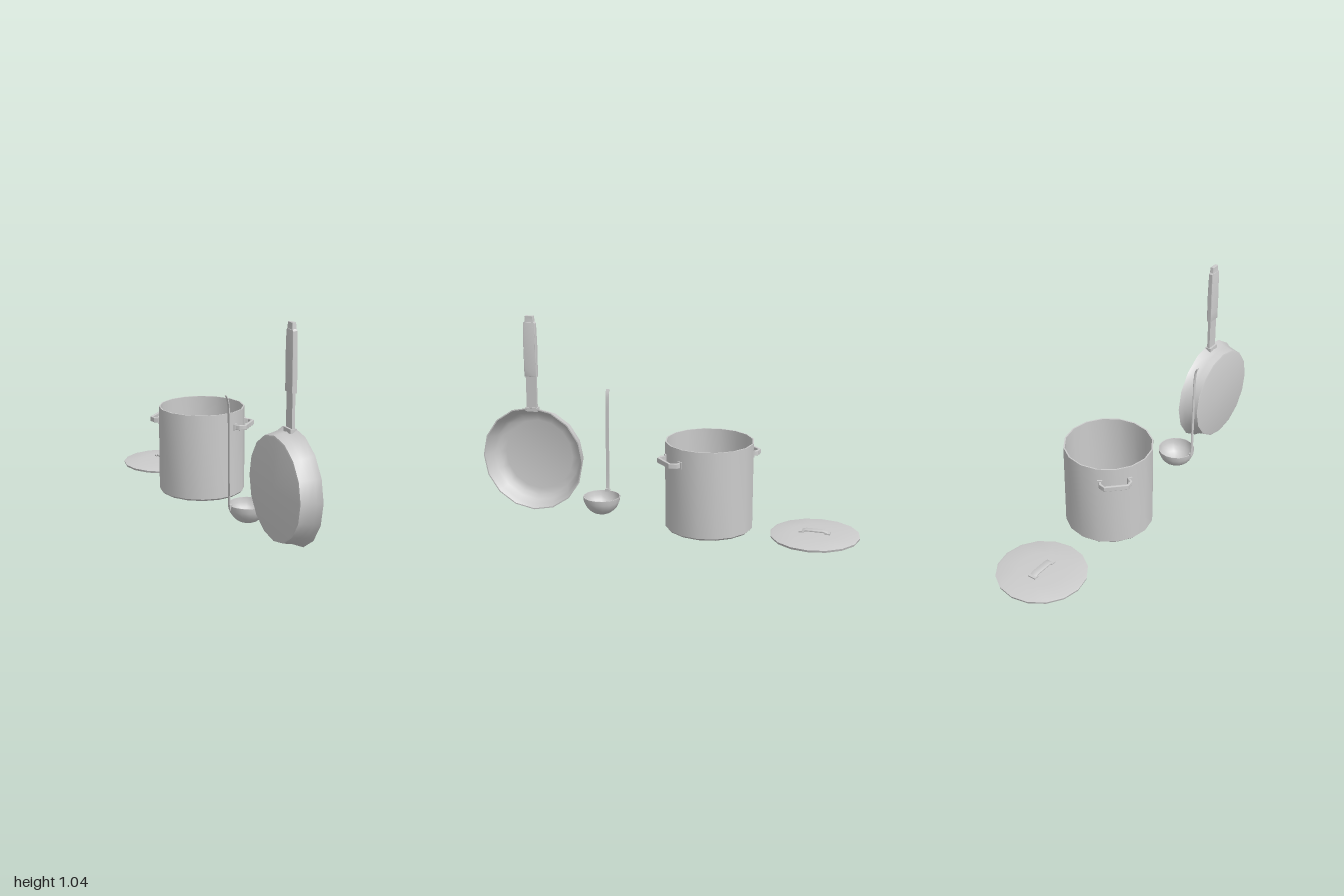
import * as THREE from 'three';
import { toCreasedNormals } from 'three/addons/utils/BufferGeometryUtils.js';

const material = new THREE.MeshStandardMaterial({ color: 0xcccccc, side: THREE.DoubleSide });

function add(parent, name, geometry, x = 0, y = 0, z = 0) {
  const mesh = new THREE.Mesh(geometry, material);
  mesh.name = name;
  mesh.position.set(x, y, z);
  parent.add(mesh);
  return mesh;
}

function group(parent, name, x, y, z) {
  const g = new THREE.Group();
  g.name = name;
  g.position.set(x, y, z);
  parent.add(g);
  return g;
}

const vectors = (points) => points.map(([x, y]) => new THREE.Vector2(x, y));

// Turned part with smooth sides and sharp rims
const turned = (profile, sides = 16) =>
  toCreasedNormals(new THREE.LatheGeometry(vectors(profile), sides), 0.7);

// Extrudes a shape along z, centred, with a small bevel that stays inside the depth
function slab(shape, depth, bevel) {
  const geometry = new THREE.ExtrudeGeometry(shape, {
    depth: depth - 2 * bevel, bevelEnabled: bevel > 0, bevelSize: bevel,
    bevelThickness: bevel, bevelOffset: -bevel, bevelSegments: 2, curveSegments: 4,
  });
  geometry.translate(0, 0, -depth / 2 + bevel);
  return toCreasedNormals(geometry, 0.6);
}

// Flat bar bent along a line of points in the xy plane
function strap(points, thickness, width, bevel = 0) {
  const line = vectors(points);
  const side = (sign) => line.map((p, i) => {
    const a = line[Math.max(i - 1, 0)], b = line[Math.min(i + 1, line.length - 1)];
    const t = b.clone().sub(a).normalize();
    return new THREE.Vector2(p.x - t.y * sign * thickness / 2, p.y + t.x * sign * thickness / 2);
  });
  return slab(new THREE.Shape([...side(1), ...side(-1).reverse()]), width, bevel);
}

function buildPot(parent) {
  const pot = group(parent, 'pot', 0, 0, -0.23);
  add(pot, 'potBody', turned([
    [0, 0], [0.215, 0], [0.225, 0.01], [0.225, 0.455],
    [0.218, 0.455], [0.218, 0.018], [0.208, 0.01], [0, 0.01],
  ]));
  // Two opposite side handles on the diagonal
  for (const turn of [Math.PI / 4, Math.PI * 5 / 4]) {
    const handle = group(pot, 'potHandle', 0, 0.375, 0);
    handle.rotation.y = turn;
    const bar = strap([[-0.072, 0.21], [-0.075, 0.236], [-0.058, 0.262],
      [0.058, 0.262], [0.075, 0.236], [0.072, 0.21]], 0.014, 0.026, 0.003);
    bar.rotateX(Math.PI / 2);
    add(handle, 'potHandleBar', bar);
    for (const s of [-1, 1]) {
      const plate = add(handle, 'potHandlePlate', new THREE.BoxGeometry(0.026, 0.036, 0.008), s * 0.074, 0, 0.214);
      plate.rotation.y = s * 0.33;
    }
  }
}

function buildLid(parent) {
  const lid = group(parent, 'lid', 0, 0, -0.775);
  add(lid, 'lidDisc', turned([
    [0, 0.012], [0.19, 0.008], [0.212, 0.006], [0.213, 0],
    [0.222, 0], [0.225, 0.011], [0.215, 0.014], [0.12, 0.02], [0, 0.023],
  ]));
  const bar = strap([[-0.075, 0.018], [-0.06, 0.026], [-0.045, 0.031],
    [0.045, 0.031], [0.06, 0.026], [0.075, 0.018]], 0.008, 0.036, 0.002);
  bar.rotateY(Math.PI / 2);
  add(lid, 'lidHandle', bar);
  for (const s of [-1, 1]) {
    add(lid, 'lidHandleFoot', new THREE.BoxGeometry(0.044, 0.012, 0.026), 0, 0.022, s * 0.065);
  }
}

function buildPan(parent) {
  const pan = group(parent, 'fryingPan', 0, 0.283, 0.72);
  // Turned upright so that the opening faces +x
  const body = turned([
    [0, -0.07], [0.24, -0.07], [0.249, -0.067], [0.256, -0.03], [0.264, 0.005], [0.28, 0.03],
    [0.274, 0.03], [0.258, 0.005], [0.244, -0.03], [0.225, -0.053], [0.19, -0.062], [0, -0.062],
  ]);
  body.rotateZ(-Math.PI / 2);
  add(pan, 'panBody', body);

  // Neck with a bracket that meets the wall
  add(pan, 'panNeck', new THREE.BoxGeometry(0.015, 0.19, 0.056), 0.013, 0.357, 0);
  add(pan, 'panBracket', new THREE.BoxGeometry(0.034, 0.02, 0.066), 0.012, 0.268, 0);

  // Rounded grip narrowing to a hanging loop
  const half = [[0.034, 0.442], [0.034, 0.49], [0.035, 0.6], [0.032, 0.722], [0.025, 0.73], [0.022, 0.76]];
  const grip = new THREE.Shape(vectors([...half, ...half.map(([x, y]) => [-x, y]).reverse()]));
  grip.holes.push(new THREE.Path(vectors([[-0.017, 0.728], [-0.015, 0.751], [0.015, 0.751], [0.017, 0.728]])));
  const geometry = slab(grip, 0.027, 0.004);
  geometry.rotateY(Math.PI / 2);
  // Thin the grip toward its upper end
  const p = geometry.attributes.position;
  for (let i = 0; i < p.count; i++) {
    const t = Math.max(0, (p.getY(i) - 0.7) / 0.06);
    p.setX(i, p.getX(i) * (1 - 0.3 * t));
  }
  add(pan, 'panGrip', toCreasedNormals(geometry, 0.6), 0.0135, 0, 0);
}

function buildLadle(parent) {
  const ladle = group(parent, 'ladle', -0.017, 0, 0.355);
  // Hemisphere bowl with a thin wall
  const arc = (r, n) => Array.from({ length: n + 1 }, (_, i) => {
    const a = (i / n) * Math.PI / 2;
    return [r * Math.sin(a), 0.098 - r * Math.cos(a)];
  });
  add(ladle, 'ladleBowl', turned([...arc(0.098, 6), ...arc(0.094, 6).reverse()]));
  // Long flat stem with a bent tip
  add(ladle, 'ladleStem', strap([
    [-0.096, 0.075], [-0.1, 0.1], [-0.1, 0.2], [-0.102, 0.4], [-0.103, 0.55],
    [-0.106, 0.605], [-0.111, 0.63], [-0.12, 0.647],
  ], 0.004, 0.018));
  add(ladle, 'ladleStemTab', new THREE.BoxGeometry(0.012, 0.014, 0.026), -0.096, 0.099, 0);
}

export function createModel() {
  const model = new THREE.Group();
  model.name = 'cookware';
  buildPot(model);
  buildLid(model);
  buildPan(model);
  buildLadle(model);
  return model;
}
